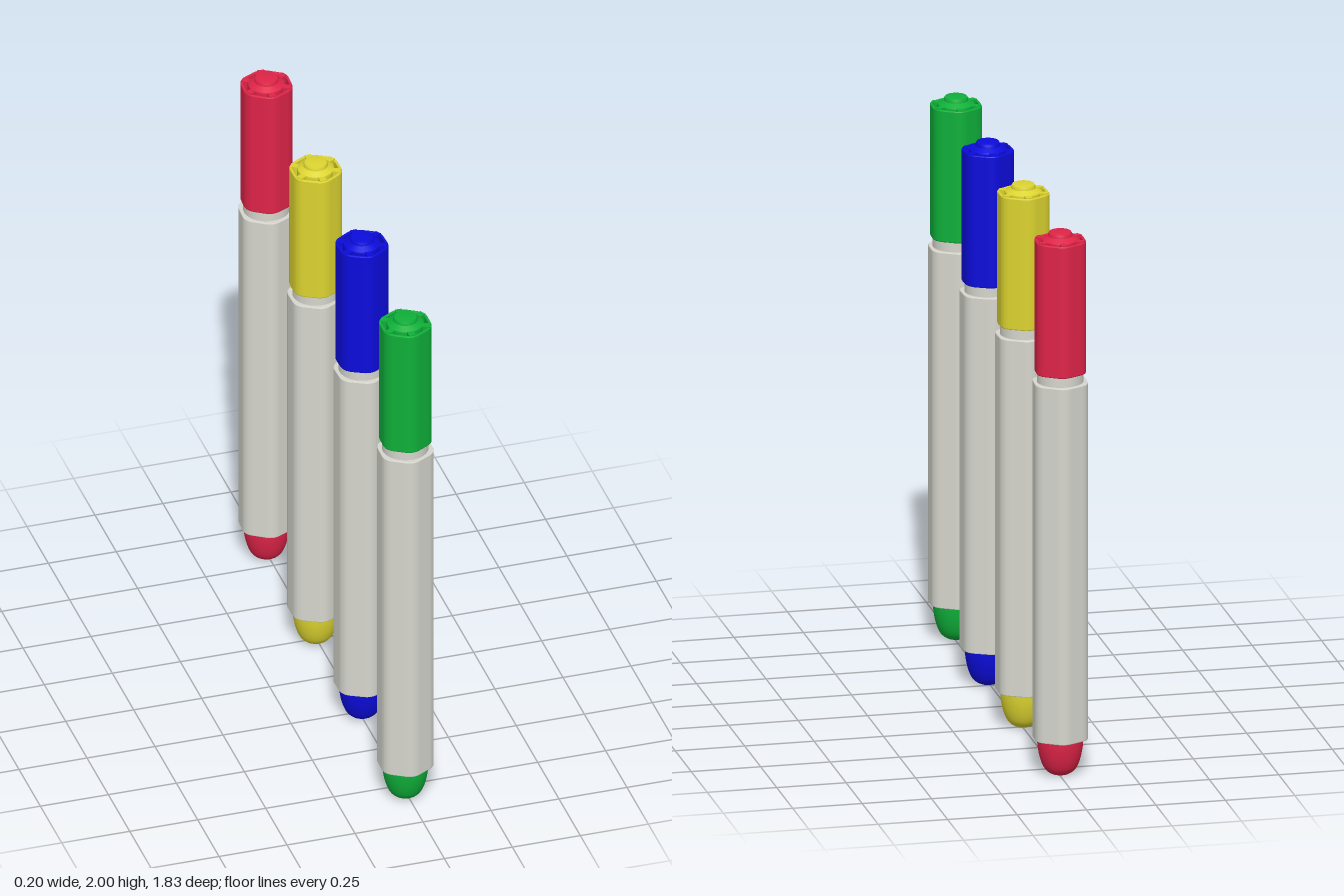
import * as THREE from 'three';

const paint = (name, color) => {
  const m = new THREE.MeshStandardMaterial({ color });
  m.name = name;
  return m;
};

// Rounded hexagon, corners toward +-y of the shape; cut = length trimmed from each corner
function hexagon(apothem, cut, Kind = THREE.Shape) {
  const R = apothem / Math.cos(Math.PI / 6);
  const corner = i => new THREE.Vector2(0, R).rotateAround(new THREE.Vector2(), i * Math.PI / 3);
  const s = new Kind();
  for (let i = 0; i < 6; i++) {
    const c = corner(i);
    const a = c.clone().lerp(corner(i - 1), cut / R);
    const b = c.clone().lerp(corner(i + 1), cut / R);
    if (i === 0) s.moveTo(a.x, a.y); else s.lineTo(a.x, a.y);
    s.quadraticCurveTo(c.x, c.y, b.x, b.y);
  }
  s.closePath();
  return s;
}

// Upright prism from y0 to y1
function prism(shape, y0, y1, bevel = 0) {
  const g = new THREE.ExtrudeGeometry(shape, {
    depth: y1 - y0 - 2 * bevel, curveSegments: 6, bevelEnabled: bevel > 0,
    bevelSize: bevel, bevelOffset: -bevel, bevelThickness: bevel, bevelSegments: 2,
  });
  return g.rotateX(-Math.PI / 2).translate(0, y0 + bevel, 0);
}

const lathe = pts => new THREE.LatheGeometry(pts.map(p => new THREE.Vector2(...p)), 40);

function marker(name, ink, casing) {
  const g = new THREE.Group();
  g.name = name;
  const add = (part, geometry, material) => {
    const m = new THREE.Mesh(geometry, material);
    m.name = part;
    g.add(m);
    return m;
  };

  // barrel and round neck
  add('barrel', prism(hexagon(0.094, 0.03), 0.14, 1.45, 0.003), casing);
  add('neck', new THREE.CylinderGeometry(0.082, 0.082, 0.07, 40).translate(0, 1.475, 0), casing);

  // rounded end plug
  const plug = new THREE.SplineCurve([
    [0.0001, 0.005], [0.03, 0.009], [0.055, 0.028], [0.07, 0.062], [0.079, 0.105], [0.082, 0.145],
  ].map(p => new THREE.Vector2(...p))).getPoints(20);
  add('endPlug', new THREE.LatheGeometry(plug, 40), ink);

  // hollow hexagonal cap sleeve
  const wall = hexagon(0.088, 0.032);
  wall.holes.push(hexagon(0.078, 0.028, THREE.Path));
  add('capSleeve', prism(wall, 1.485, 1.97, 0.004), ink);

  // inner core with stepped button, held by six ribs
  add('capCore', lathe([[0.066, 1.515], [0.066, 1.968], [0.064, 1.973]]), ink);
  add('capShoulder', lathe([[0.064, 1.973], [0.043, 1.985]]), ink);
  add('capButton', lathe([[0.043, 1.985], [0.042, 1.994], [0.038, 2], [0.0001, 2]]), ink);
  for (let i = 0; i < 6; i++) {
    const rib = add('capRib', new THREE.BoxGeometry(0.024, 0.46, 0.03).translate(0, 1.743, 0.074), ink);
    rib.rotation.y = i * Math.PI / 3;
  }
  return g;
}

export function createModel() {
  const model = new THREE.Group();
  model.name = 'markerSet';
  const casing = paint('paleGrey', 0xd6d6ce);

  // name, colour, x, z, turn
  const set = [
    ['greenMarker', 0x0fb03a, -0.006, 0.812, -0.02],
    ['blueMarker', 0x0c0cdc, 0.004, 0.272, 0.04],
    ['yellowMarker', 0xdcd430, -0.005, -0.242, 0.02],
    ['redMarker', 0xdf2448, -0.005, -0.818, -0.06],
  ];
  for (const [name, color, x, z, turn] of set) {
    const m = marker(name, paint(name.replace('Marker', ''), color), casing);
    m.position.set(x, 0, z);
    m.rotation.y = turn;
    model.add(m);
  }
  return model;
}
